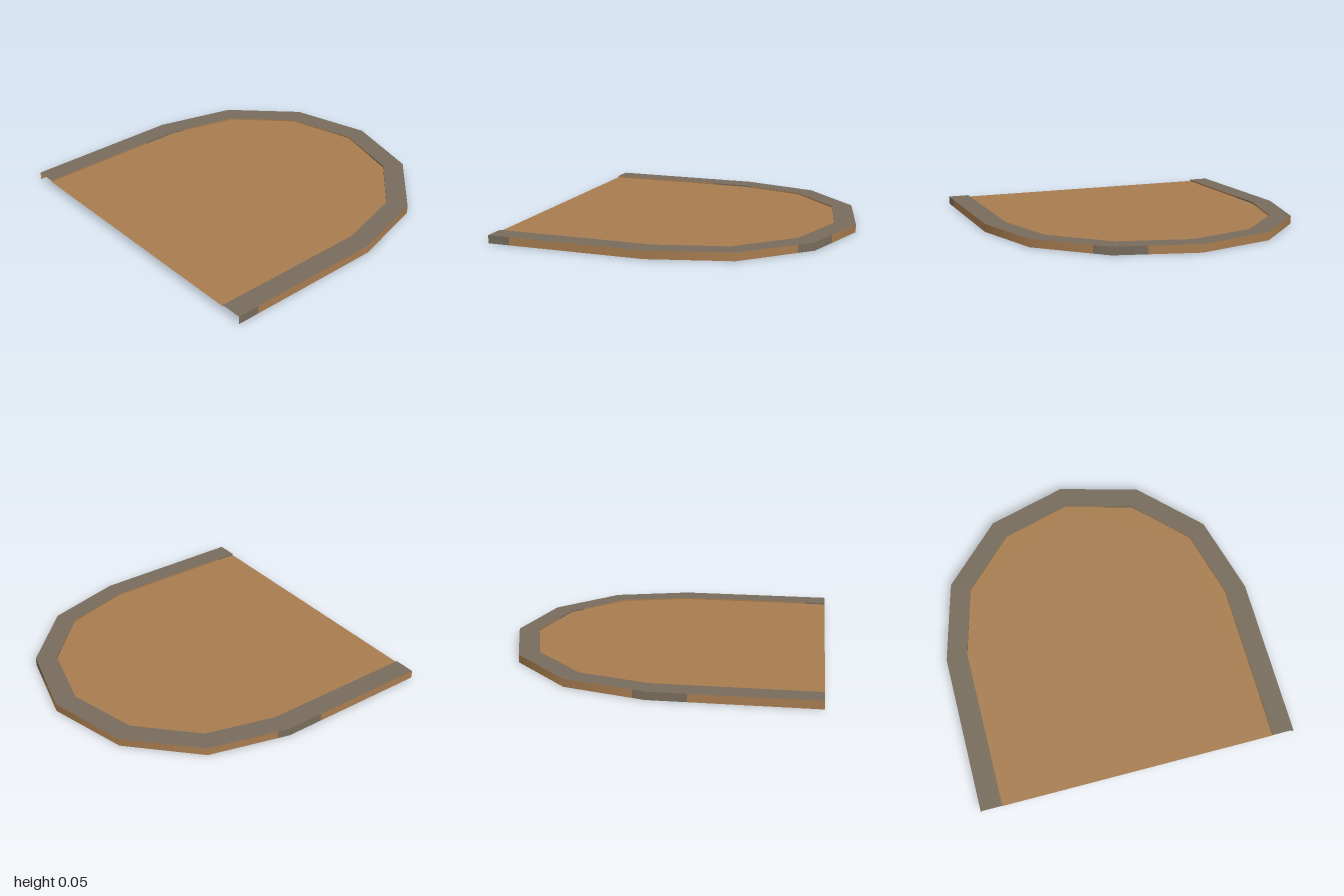
import * as THREE from 'three';

const TOP = 0.05, FLOOR = 0.04, INSET = 0.865;

// Plan outline: straight side, six-sided half round, straight side (t = 0..8)
const outline = [[1, 1]];
for (let i = 0; i <= 6; i++) {
  const a = (i * Math.PI) / 6;
  outline.push([Math.cos(a), -Math.sin(a)]);
}
outline.push([-1, 1]);

function pointAt(t, scale) {
  const i = Math.min(Math.floor(t), 7), f = t - i;
  const [ax, az] = outline[i], [bx, bz] = outline[i + 1];
  const x = ax + (bx - ax) * f, z = az + (bz - az) * f;
  return [x * scale, z < 0 ? z * scale : z];
}

// Strip between two edges (scale, height) that follows the outline from t0 to t1
function strip(t0, t1, [s0, y0], [s1, y1], normalSign) {
  const ts = [t0];
  for (let i = Math.floor(t0) + 1; i < t1; i++) ts.push(i);
  ts.push(t1);
  const pos = [], nor = [], idx = [];
  ts.forEach((t, k) => {
    for (const [s, y] of [[s0, y0], [s1, y1]]) {
      const [x, z] = pointAt(t, s);
      pos.push(x, y, z);
      const n = normalSign === 0 ? new THREE.Vector3(0, 1, 0)
        : new THREE.Vector3(x, 0, Math.min(z, 0)).normalize().multiplyScalar(normalSign);
      nor.push(n.x, n.y, n.z);
    }
    if (k) {
      const a = 2 * k - 2;
      idx.push(a, a + 2, a + 1, a + 1, a + 2, a + 3);
    }
  });
  const g = new THREE.BufferGeometry();
  g.setAttribute('position', new THREE.Float32BufferAttribute(pos, 3));
  g.setAttribute('normal', new THREE.Float32BufferAttribute(nor, 3));
  g.setIndex(idx);
  return g;
}

export function createModel() {
  const group = new THREE.Group();
  const mat = (name, color) => {
    const m = new THREE.MeshStandardMaterial({ color, side: THREE.DoubleSide });
    m.name = name;
    return m;
  };
  const tan = mat('tan earth', 0xa87d50);
  const grey = mat('grey stone', 0x776c5c);
  const add = (name, geometry, material) => {
    const mesh = new THREE.Mesh(geometry, material);
    mesh.name = name;
    group.add(mesh);
  };

  // Recessed floor, open at the front
  const shape = new THREE.Shape(outline.map((_, i) => {
    const [x, z] = pointAt(i, INSET);
    return new THREE.Vector2(x, -z);
  }));
  add('floor', new THREE.ShapeGeometry(shape).rotateX(-Math.PI / 2).translate(0, FLOOR, 0), tan);

  // Flat border
  add('rim', strip(0, 8, [1, TOP], [INSET, TOP], 0), grey);

  // Outer skirt and inner step, tan with short grey stretches
  const stretches = [[0, 0.14, grey], [0.14, 2.78, tan], [2.78, 3.4, grey],
    [3.4, 6.85, tan], [6.85, 7.24, grey], [7.24, 8, tan]];
  for (const [t0, t1, m] of stretches) {
    add('skirt', strip(t0, t1, [1, 0], [1, TOP], 1), m);
    add('innerStep', strip(t0, t1, [INSET, TOP], [INSET, FLOOR], -1), m);
  }
  return group;
}
